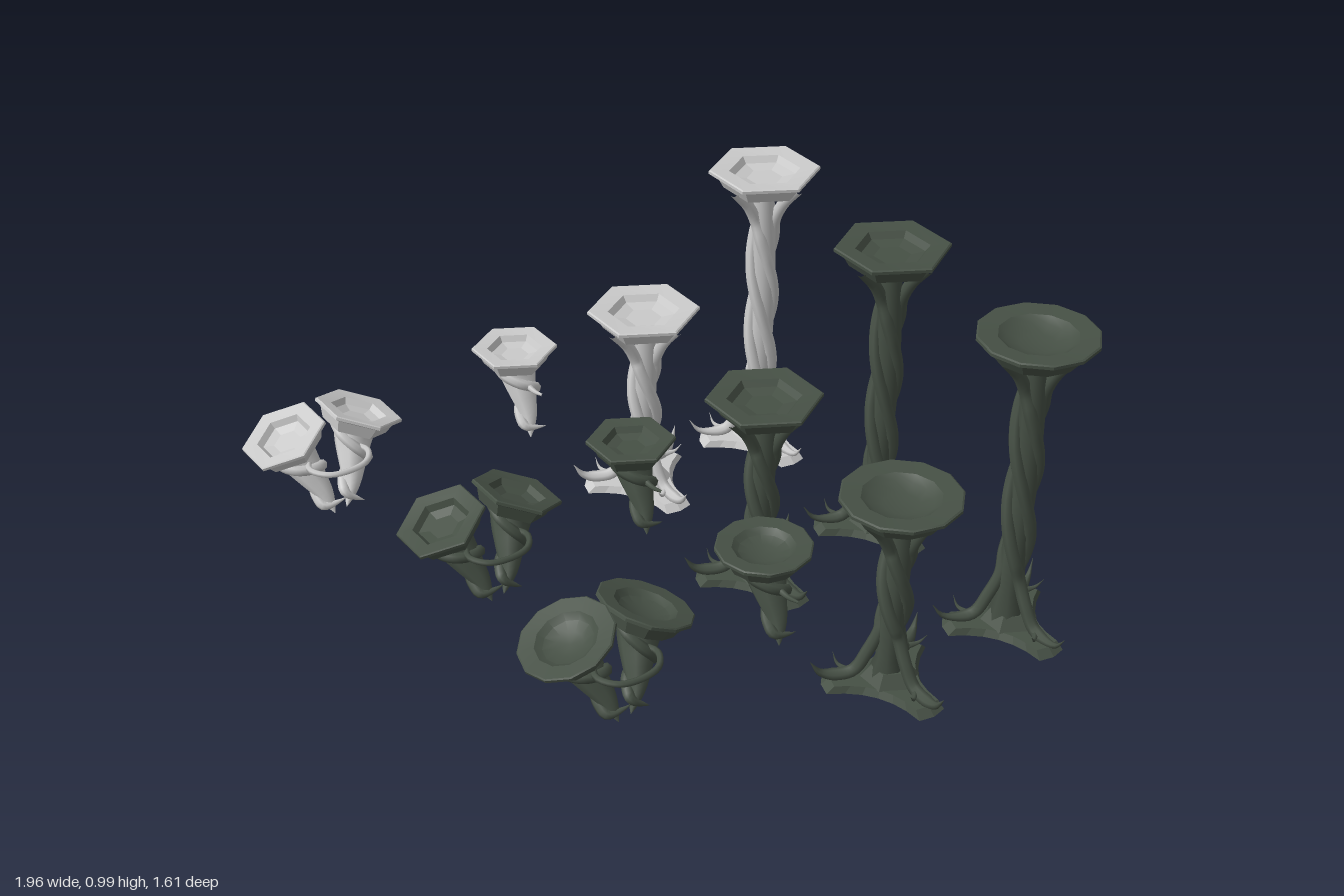
import * as THREE from 'three';
import { toCreasedNormals } from 'three/addons/utils/BufferGeometryUtils.js';

const rad = THREE.MathUtils.degToRad;
const V = (x, y, z) => new THREE.Vector3(x, y, z);
const polar = (r, y, deg) => V(r * Math.cos(rad(deg)), y, r * Math.sin(rad(deg)));

function add(parent, name, geometry, material) {
  const mesh = new THREE.Mesh(geometry, material);
  mesh.name = name;
  parent.add(mesh);
  return mesh;
}

// Tube along points; radius(t) sets the thickness
function taperedTube(points, radius, steps = 40, sides = 7) {
  const curve = new THREE.CatmullRomCurve3(points);
  const geo = new THREE.TubeGeometry(curve, steps, 1, sides);
  const pos = geo.attributes.position;
  const p = new THREE.Vector3();
  for (let i = 0; i <= steps; i++) {
    const c = curve.getPointAt(i / steps);
    const r = Math.max(radius(i / steps), 0.0008);
    for (let j = 0; j <= sides; j++) {
      const k = i * (sides + 1) + j;
      p.fromBufferAttribute(pos, k).sub(c).multiplyScalar(r).add(c);
      pos.setXYZ(k, p.x, p.y, p.z);
    }
  }
  return geo;
}

// Shallow dish with its rim at y = 0, either six-sided or round
function bowlGeometry(round, scale) {
  const outside = [[0, -0.06], [0.126, -0.06], [0.148, -0.02], [0.172, -0.012], [0.172, -0.003], [0.167, 0]];
  const inside = round
    ? [[0.112, -0.004], [0.09, -0.02], [0.05, -0.031], [0, -0.034]]
    : [[0.11, -0.005], [0.095, -0.024], [0.055, -0.032], [0, -0.032]];
  const pts = [...outside, ...inside].map(([r, y]) => new THREE.Vector2(r * scale, y * (scale < 1 ? 0.9 : 1)));
  return toCreasedNormals(new THREE.LatheGeometry(pts, round ? 12 : 6), round ? 0.45 : 0.2);
}

// Three-armed foot plate with concave sides and a narrower top
function baseGeometry() {
  const shape = new THREE.Shape();
  const at = (arm, along, side) => {
    const a = rad(90 + arm * 120);
    return [along * Math.cos(a) - side * Math.sin(a), -(along * Math.sin(a) + side * Math.cos(a))];
  };
  shape.moveTo(...at(0, 0.185, -0.045));
  for (let i = 0; i < 3; i++) {
    shape.lineTo(...at(i, 0.195, 0));
    shape.lineTo(...at(i, 0.185, 0.045));
    const mid = rad(150 + i * 120);
    shape.quadraticCurveTo(0.045 * Math.cos(mid), -0.045 * Math.sin(mid), ...at(i + 1, 0.185, -0.045));
  }
  const geo = new THREE.ExtrudeGeometry(shape, { depth: 0.022, bevelEnabled: false, curveSegments: 6 });
  geo.rotateX(-Math.PI / 2);
  const pos = geo.attributes.position;
  for (let i = 0; i < pos.count; i++) {
    if (pos.getY(i) > 0.01) pos.setXYZ(i, pos.getX(i) * 0.88, pos.getY(i), pos.getZ(i) * 0.88);
  }
  geo.computeVertexNormals();
  return geo;
}

// Standing pedestal: foot, trunk, three twisting vines and a bowl
function makeStand(height, twist, round, material) {
  const g = new THREE.Group();
  g.name = 'pedestalStand';
  add(g, 'footPlate', baseGeometry(), material);
  const mound = toCreasedNormals(new THREE.CylinderGeometry(0.055, 0.085, 0.04, 6), 0.2);
  add(g, 'footMound', mound, material).position.y = 0.04;

  const trunk = [];
  for (let i = 0; i <= 8; i++) {
    const t = i / 8;
    trunk.push(polar(0.007, 0.03 + t * (height - 0.08), 200 + twist * t));
  }
  add(g, 'trunk', taperedTube(trunk, t => 0.036 + 0.022 * Math.max(0, 1 - t * 9), 36, 8), material);

  for (let i = 0; i < 3; i++) {
    const a = 90 + i * 120;
    // Thorn tip and root, then the climb, then the strut under the bowl
    const path = [polar(0.228, 0.082, a), polar(0.2, 0.045, a), polar(0.165, 0.034, a),
      polar(0.105, 0.045, a), polar(0.065, 0.11, a + 4)];
    const low = 0.18, high = height - 0.17;
    for (let k = 0; k <= 10; k++) {
      const t = k / 10;
      path.push(polar(0.036, low + t * (high - low), a + 12 + t * (twist - 24)));
    }
    path.push(polar(0.062, height - 0.11, a + twist - 4), polar(0.11, height - 0.05, a + twist));
    add(g, 'vine', taperedTube(path, t => 0.019 * Math.min(1, t * 9), 70), material);
    // Small side thorn on each root
    const thorn = [polar(0.12, 0.04, a + 4), polar(0.15, 0.045, a + 14), polar(0.165, 0.07, a + 20)];
    add(g, 'rootThorn', taperedTube(thorn, t => 0.011 * (1 - t), 8, 5), material);
  }
  add(g, 'bowl', bowlGeometry(round, 1), material).position.y = height;
  return g;
}

// Hanging bowl with a curved horn below; its rim centre is the origin
function makeSconce(round, material, spike) {
  const g = new THREE.Group();
  g.name = 'sconce';
  add(g, 'bowl', bowlGeometry(round, round ? 0.755 : 0.73), material);
  const axis = [V(0, -0.04, 0), V(0, -0.09, 0.012), V(0, -0.15, 0.04), V(0, -0.21, 0.068), V(-0.01, -0.27, 0.088)];
  add(g, 'horn', taperedTube(axis, t => 0.062 * Math.pow(1 - t, 0.75) + 0.004 * (1 - t), 16, 8), material);

  // Vine coiling down the horn and ending in a hooked tip
  const curve = new THREE.CatmullRomCurve3(axis);
  const coil = [];
  for (let i = 0; i <= 10; i++) {
    const t = i / 10;
    const c = curve.getPointAt(0.06 + t * 0.76);
    coil.push(c.add(polar(0.058 - 0.036 * t, 0, 200 - 400 * t)));
  }
  coil.push(V(0.03, -0.245, 0.09), V(0.045, -0.25, 0.085));
  add(g, 'coilingVine', taperedTube(coil, t => 0.016 * Math.min(1, (1 - t) * 5), 48), material);

  if (spike) {
    const thorn = [V(0, -0.1, 0.04), V(0, -0.105, 0.1), V(0, -0.095, 0.148)];
    add(g, 'frontThorn', taperedTube(thorn, t => 0.012 * (1 - t * 0.7), 10, 6), material);
  }
  return g;
}

// Two sconces leaning apart, joined by a bowed handle
function makeTwinSconce(round, material) {
  const g = new THREE.Group();
  g.name = 'twinSconce';
  for (const side of [-1, 1]) {
    const s = makeSconce(round, material, false);
    s.position.set(side * 0.12, 0.637, 0);
    s.rotation.z = -side * rad(22);
    g.add(s);
  }
  const bow = [V(-0.07, 0.555, 0.04), V(-0.09, 0.555, 0.09), V(-0.06, 0.555, 0.14), V(0, 0.555, 0.155),
    V(0.06, 0.555, 0.14), V(0.09, 0.555, 0.09), V(0.07, 0.555, 0.04)];
  add(g, 'bowedHandle', taperedTube(bow, () => 0.009, 24, 6), material);
  return g;
}

export function createModel() {
  const model = new THREE.Group();
  model.name = 'pedestalSet';
  const darkGreen = new THREE.MeshStandardMaterial({ color: 0x465045 });
  darkGreen.name = 'darkGreen';
  const paleGrey = new THREE.MeshStandardMaterial({ color: 0xcacaca });
  paleGrey.name = 'paleGrey';

  // Three rows: pale six-sided, dark six-sided, dark round
  const rows = [
    { z: -0.64, twinX: -0.77, round: false, material: paleGrey },
    { z: -0.033, twinX: -0.62, round: false, material: darkGreen },
    { z: 0.573, twinX: -0.62, round: true, material: darkGreen },
  ];
  for (const { z, twinX, round, material } of rows) {
    const tall = makeStand(0.985, 330, round, material);
    tall.position.set(0.775, 0, z);
    const short = makeStand(0.642, 210, round, material);
    short.position.set(0.322, 0, z);
    const sconce = makeSconce(round, material, true);
    sconce.position.set(-0.132, 0.661, z - 0.012);
    const twin = makeTwinSconce(round, material);
    twin.position.set(twinX, 0, z - 0.012);
    model.add(tall, short, sconce, twin);
  }
  return model;
}
